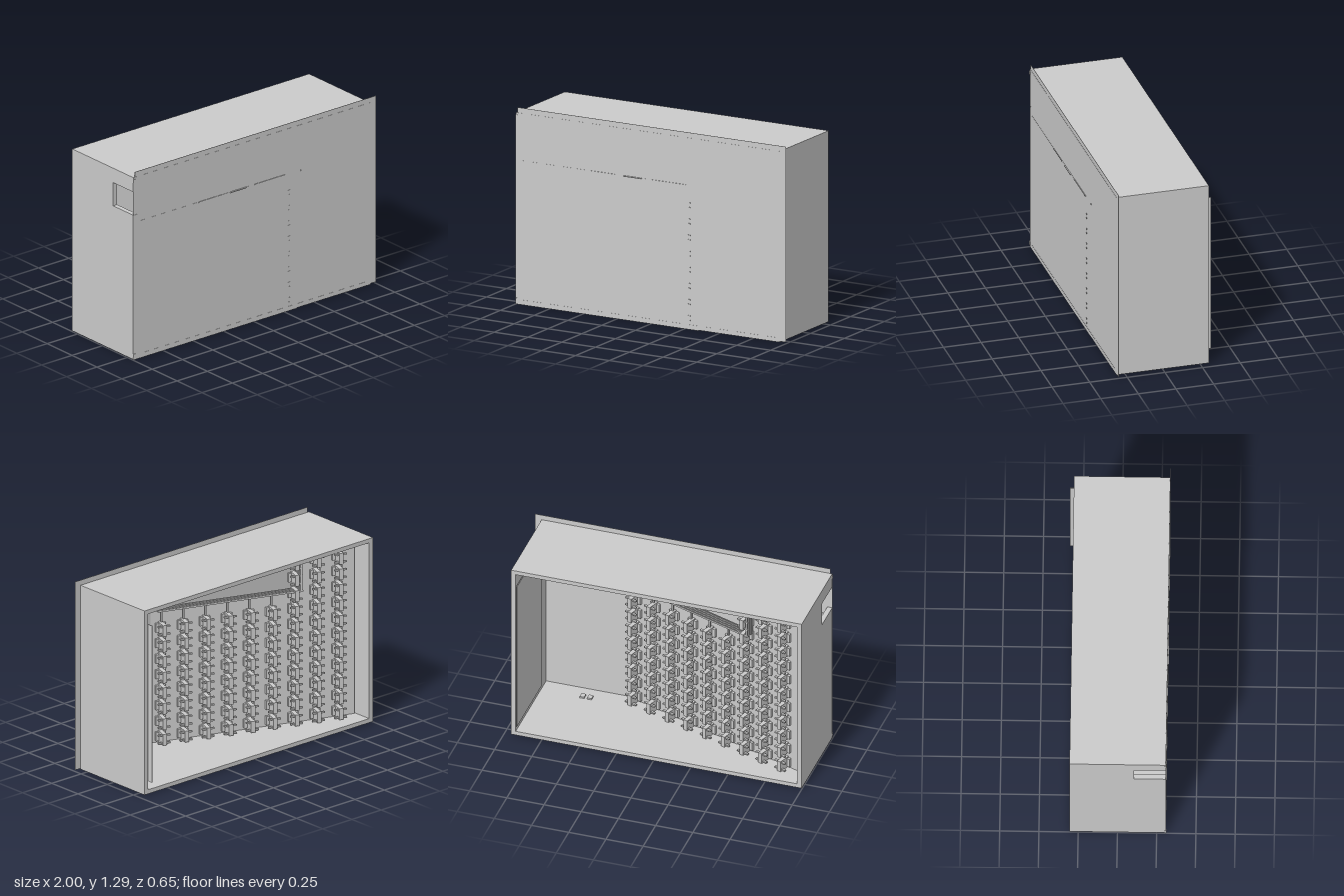
import * as THREE from 'three';

const grey = new THREE.MeshStandardMaterial({ color: 0xcccccc, side: THREE.DoubleSide, flatShading: true });

// Box given by its min and max corners
function block(parent, name, x0, x1, y0, y1, z0, z1) {
  const mesh = new THREE.Mesh(new THREE.BoxGeometry(x1 - x0, y1 - y0, z1 - z0), grey);
  mesh.position.set((x0 + x1) / 2, (y0 + y1) / 2, (z0 + z1) / 2);
  mesh.name = name;
  parent.add(mesh);
  return mesh;
}

// Thin sheet cut from an outline in x and y
function sheet(parent, name, points, z, depth) {
  const shape = new THREE.Shape(points.map(([x, y]) => new THREE.Vector2(x, y)));
  const mesh = new THREE.Mesh(new THREE.ExtrudeGeometry(shape, { depth, bevelEnabled: false }), grey);
  mesh.position.z = z;
  mesh.name = name;
  parent.add(mesh);
}

// One plug-in unit: body, side ribs and two cross pins, growing backwards from the mounting board
function addUnit(parent, u, y) {
  const unit = new THREE.Group();
  unit.name = 'unit';
  unit.position.set(u, y, 0);
  block(unit, 'unitBody', -0.014, 0.014, -0.038, 0.038, -0.085, 0);
  block(unit, 'unitFoot', -0.035, 0.035, -0.03, 0.03, -0.018, 0);
  for (const s of [-1, 1]) {
    block(unit, 'crossPin', -0.042, 0.042, s * 0.026 - 0.005, s * 0.026 + 0.005, -0.075, -0.06);
  }
  parent.add(unit);
}

export function createModel() {
  const model = new THREE.Group();
  model.name = 'cabinet';

  // Casing, open at the back
  const casing = new THREE.Group();
  casing.name = 'casing';
  model.add(casing);
  const back = -0.305, front = 0.309;
  block(casing, 'topWall', -0.998, 0.954, 1.232, 1.26, back, front);
  block(casing, 'bottomWall', -0.998, 0.954, 0.004, 0.032, back, front);
  block(casing, 'leftWall', 0.924, 0.954, 0.032, 1.232, back, front);
  // Right wall, pieced around the opening near the front
  block(casing, 'rightWallRear', -0.998, -0.965, 0.032, 1.232, back, 0.105);
  block(casing, 'rightWallLower', -0.998, -0.965, 0.032, 1.0, 0.105, front);
  block(casing, 'rightWallUpper', -0.998, -0.965, 1.16, 1.232, 0.105, front);

  // Front panel with a flange over the top and left edges
  sheet(model, 'frontPanel', [
    [-1, 0], [0.35, 0], [0.35, 0.01], [1, 0.01], [1, 1.295],
    [-0.985, 1.295], [-0.985, 1.25], [-1, 1.23],
  ], 0.306, 0.002);
  block(model, 'frontSeam', -0.997, 0.26, 0.945, 0.949, 0.304, 0.309);
  for (const [x0, x1, z] of [[-0.46, -0.27, 0.312], [-0.2, -0.07, 0.316], [0, 0.25, 0.312]]) {
    block(model, 'seamLip', x0, x1, 0.944, 0.95, 0.305, z);
  }
  block(model, 'frontPin', 0.38, 0.388, 0.942, 0.95, 0.3, 0.312);
  for (const y of [0.03, 1.235]) block(model, 'hingeTab', -1, -0.985, y - 0.012, y + 0.012, 0.3, 0.313);

  // Inner plate beside the left wall, standing slightly out of the back
  block(model, 'innerPlate', 0.908, 0.914, 0.085, 1.155, -0.33, 0.175);

  // Small stubs on the floor
  for (const dx of [0, 0.05]) {
    block(model, 'floorStub', 0.58 + dx, 0.61 + dx, 0.032, 0.042, 0.19, 0.23);
  }

  // Slanted board from the front panel to the right wall
  const rack = new THREE.Group();
  rack.name = 'rack';
  rack.position.set(0.36, 0, 0.3);
  rack.rotation.y = -Math.atan(0.36);
  model.add(rack);
  sheet(rack, 'mountingBoard', [
    [0, 0.032], [0, 0.95], [-1, 0.95], [-1, 1.23], [-1.4, 1.23], [-1.4, 0.032],
  ], 0, 0.004);

  // Rails along the board's stepped edge
  for (let i = 0; i < 4; i++) {
    const z = -0.012 - i * 0.018;
    block(rack, 'rail', -1 - i * 0.006, -0.02, 0.945, 0.957, z - 0.008, z);
    block(rack, 'riser', -1.012, -1, 0.945, 1.21, z - 0.008, z);
  }

  // Units in columns; the last three columns reach higher
  for (let c = 0; c < 9; c++) {
    const u = -0.064 - c * 0.1515;
    const rows = c >= 6 ? 11 : 8;
    for (let r = 0; r < rows; r++) addUnit(rack, u, 0.075 + r * 0.106);
    if (c < 7) block(rack, 'railDrop', u - 0.006, u + 0.006, 0.86, 0.95, -0.03, -0.02);
  }

  // Pin tips showing through the front panel
  for (let r = 0; r < 8; r++) {
    for (const s of [-1, 1]) {
      const y = 0.075 + r * 0.106 + s * 0.015;
      block(model, 'pinTip', 0.275, 0.292, y - 0.003, y + 0.003, 0.3, 0.311);
    }
  }
  return model;
}
